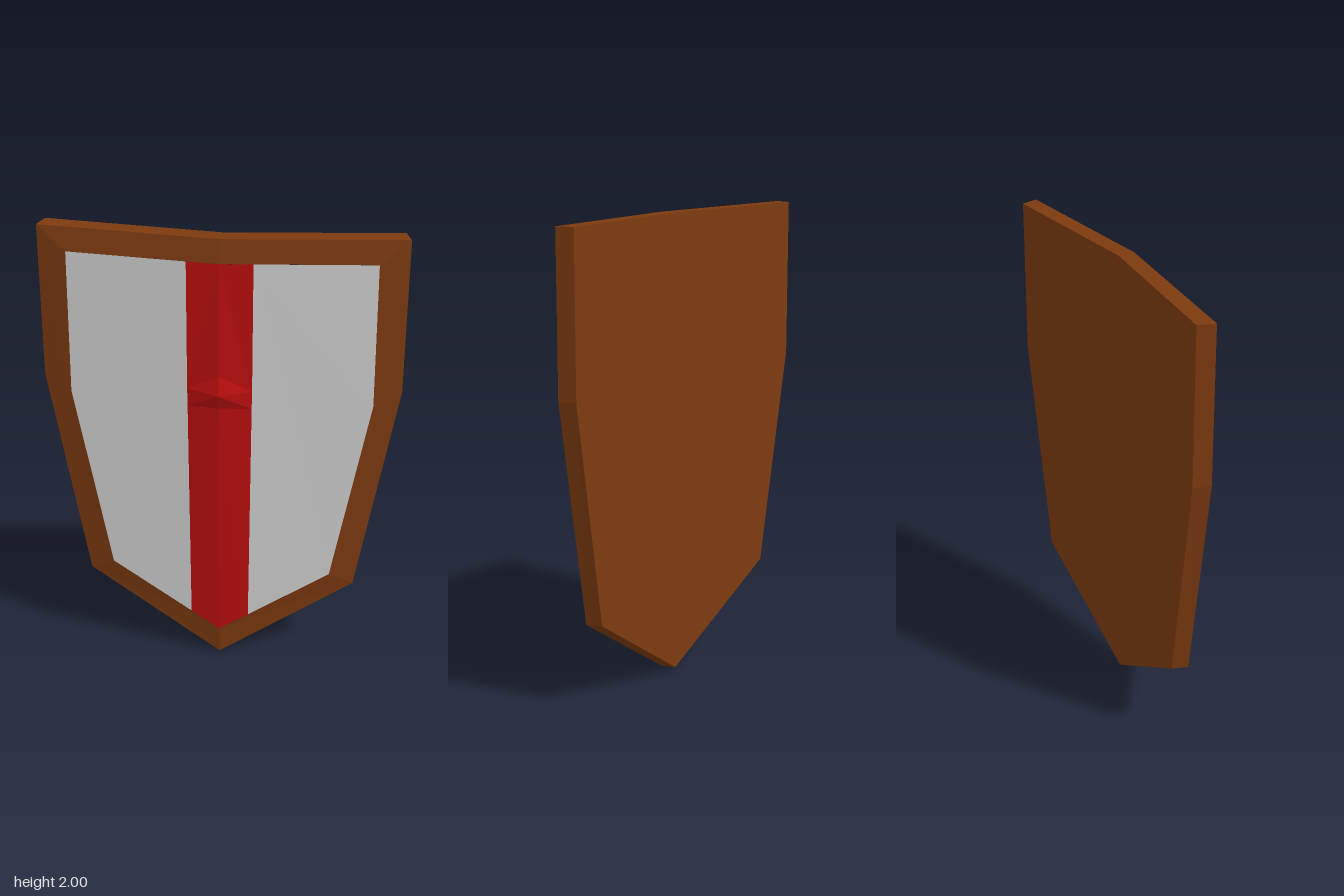
import * as THREE from 'three';

const paint = (name, color) => {
  const m = new THREE.MeshStandardMaterial({ color });
  m.name = name;
  return m;
};

// Builds a mesh from polygons on the +x half, counter-clockwise from outside,
// and mirrors every polygon to the -x half.
function mirroredMesh(name, polygons, material) {
  const pos = [];
  for (const p of polygons) {
    for (let i = 1; i < p.length - 1; i++) {
      const tri = [p[0], p[i], p[i + 1]];
      for (const [x, y, z] of tri) pos.push(x, y, z);
      for (const [x, y, z] of tri.reverse()) pos.push(-x, y, z);
    }
  }
  const g = new THREE.BufferGeometry();
  g.setAttribute('position', new THREE.Float32BufferAttribute(pos, 3));
  g.computeVertexNormals(); // unshared corners keep the facets flat
  const mesh = new THREE.Mesh(g, material);
  mesh.name = name;
  return mesh;
}

// Quads joining two matching chains of points
const bridge = (a, b) => a.slice(1).map((p, i) => [a[i], b[i], b[i + 1], p]);

export function createModel() {
  const brown = paint('brown wood', 0x7d3a10);
  const grey = paint('light grey', 0xd0d0d0);
  const red = paint('red', 0xbb0e0e);

  // Half outlines, running from top centre round the side to the bottom tip
  const outer = [[0, 2, 0.046], [0.75, 2, -0.028], [0.75, 1.33, -0.028], [0.585, 0.375, -0.012], [0, 0, 0.05]];
  const inner = [[0, 1.9, 0.06], [0.63, 1.9, 0], [0.635, 1.27, 0], [0.48, 0.43, 0.013], [0, 0.13, 0.06]];
  const back = [[0, 2, -0.026], [0.728, 2, -0.1], [0.728, 1.33, -0.1], [0.568, 0.38, -0.082], [0, 0.012, -0.022]];

  // Edge of the red stripe and its centre ridge, from top to bottom
  const edge = [[0.135, 1.9, 0.048], [0.135, 1.335, 0.05], [0.134, 1.255, 0.05], [0.127, 0.21, 0.048]];
  const ridgeTop = [0, 1.41, 0.074], ridgeLow = [0, 1.262, 0.074], peak = [0, 1.33, 0.1];

  const shield = new THREE.Group();
  shield.name = 'shield';
  shield.add(
    mirroredMesh('rim', bridge(inner, outer).map((q) => q.reverse()), brown),
    mirroredMesh('sideWall', bridge(outer, back).map((q) => q.reverse()), brown),
    mirroredMesh('backBoard', [back], brown),
    mirroredMesh('facePanels', [[edge[0], edge[1], edge[2], edge[3], inner[3], inner[2], inner[1]]], grey),
    // Stripe above and below the boss
    mirroredMesh('centreStripe', [
      [inner[0], ridgeTop, edge[1], edge[0]],
      [ridgeLow, inner[4], edge[3], edge[2]],
    ], red),
    // Pointed boss
    mirroredMesh('boss', [
      [ridgeTop, peak, edge[1]],
      [peak, edge[2], edge[1]],
      [peak, ridgeLow, edge[2]],
    ], red),
  );
  return shield;
}
